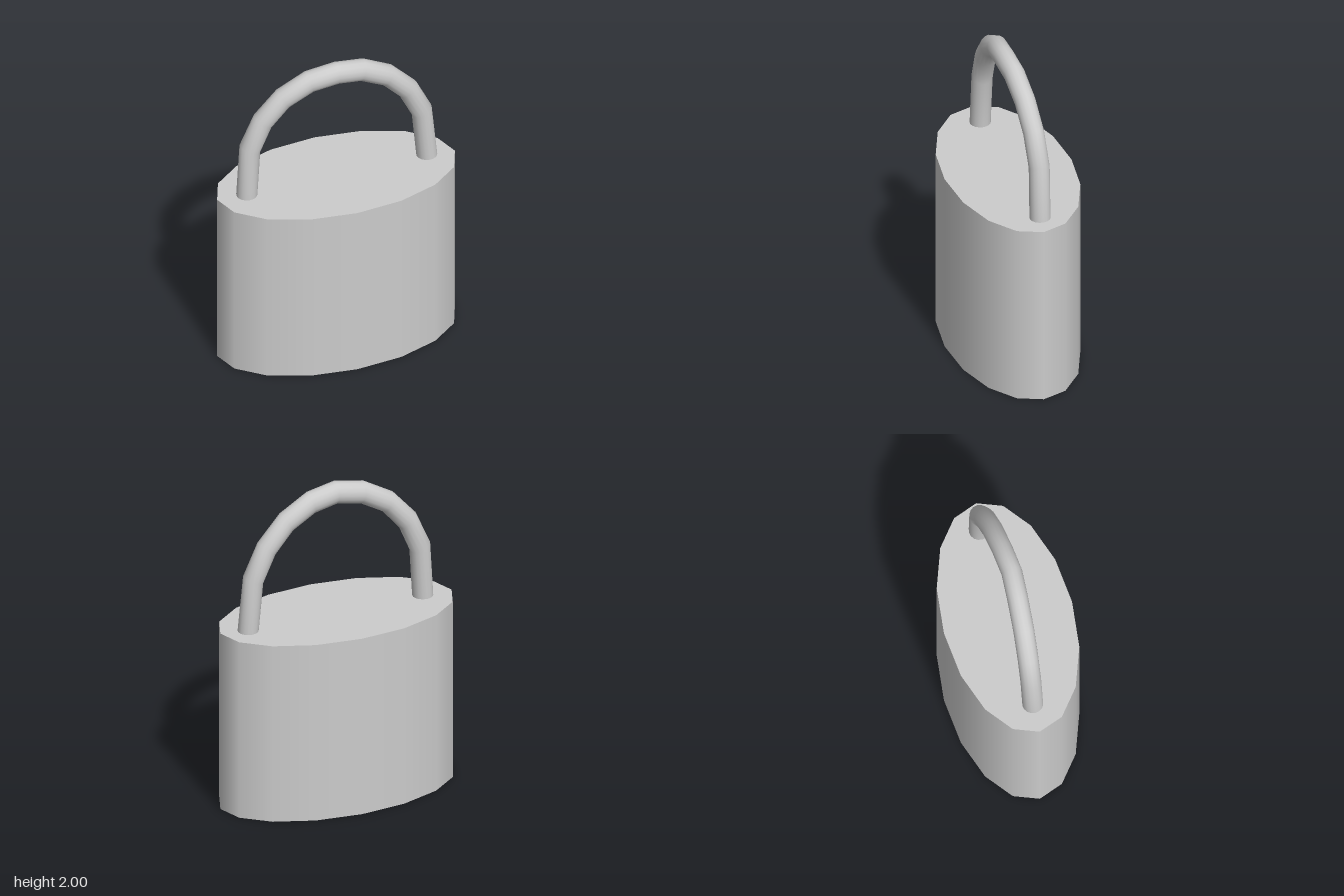
import * as THREE from 'three';

const material = new THREE.MeshStandardMaterial({ color: 0xcccccc });

// Sixteen-sided oval body, slightly turned about the vertical axis
function makeBody() {
  const height = 1.155;
  const geometry = new THREE.CylinderGeometry(1, 1, height, 16);
  geometry.applyMatrix4(new THREE.Matrix4().set(
    0.74, 0, -0.01, 0,
    0, 1, 0, height / 2,
    0.02, 0, 0.39, 0,
    0, 0, 0, 1));
  const mesh = new THREE.Mesh(geometry, material);
  mesh.name = 'body';
  return mesh;
}

// Bent bar lofted through mitred rings
function makeShackle() {
  // Each ring: outer x, outer y, inner x, inner y, centre z
  const rings = [
    [-0.62, 1.15, -0.495, 1.15, -0.01],
    [-0.597, 1.51, -0.475, 1.46, -0.015],
    [-0.51, 1.71, -0.405, 1.63, -0.01],
    [-0.368, 1.87, -0.3, 1.755, 0],
    [-0.19, 1.97, -0.155, 1.835, 0.011],
    [-0.005, 2.0, -0.005, 1.86, 0.022],
    [0.175, 1.97, 0.14, 1.835, 0.011],
    [0.357, 1.87, 0.288, 1.755, 0],
    [0.507, 1.71, 0.403, 1.63, -0.01],
    [0.603, 1.51, 0.485, 1.46, -0.015],
    [0.637, 1.15, 0.512, 1.15, -0.01],
  ];
  const sides = 16;
  const depth = 0.0625;
  const positions = [];
  const index = [];
  rings.forEach(([ox, oy, ix, iy, z], r) => {
    for (let s = 0; s < sides; s++) {
      const a = (s / sides) * Math.PI * 2;
      const c = Math.cos(a) / 2;
      positions.push(
        (ox + ix) / 2 + (ox - ix) * c,
        (oy + iy) / 2 + (oy - iy) * c,
        z + depth * Math.sin(a));
      if (r < rings.length - 1) {
        const p = r * sides + s;
        const q = r * sides + (s + 1) % sides;
        index.push(p, q, p + sides, q, q + sides, p + sides);
      }
    }
  });
  const geometry = new THREE.BufferGeometry();
  geometry.setAttribute('position', new THREE.Float32BufferAttribute(positions, 3));
  geometry.setIndex(index);
  geometry.computeVertexNormals();
  const mesh = new THREE.Mesh(geometry, material);
  mesh.name = 'shackle';
  return mesh;
}

export function createModel() {
  const model = new THREE.Group();
  model.name = 'padlock';
  model.add(makeBody(), makeShackle());
  return model;
}
